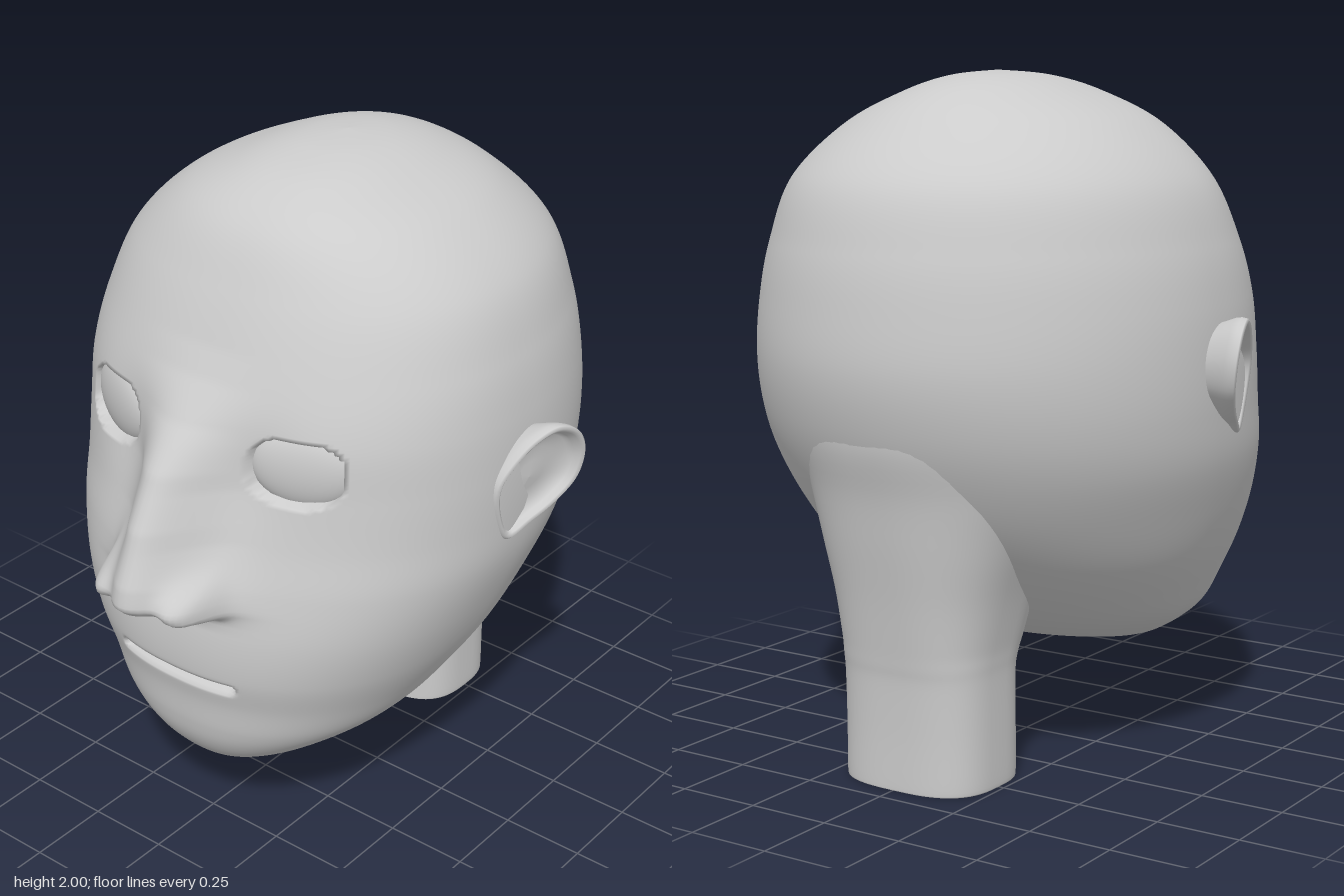
import * as THREE from 'three';

const material = new THREE.MeshStandardMaterial({ color: 0xcccccc, roughness: 0.7 });
const openMaterial = new THREE.MeshStandardMaterial({ color: 0xcccccc, roughness: 0.7, side: THREE.DoubleSide });

const { smoothstep, lerp } = THREE.MathUtils;
const gauss = (d, s) => Math.exp(-((d / s) ** 2));
const spow = (v, p) => Math.sign(v) * Math.abs(v) ** p;

// Catmull-Rom through rows of numbers, sampled with `steps` per interval
function smoothRows(keys, steps) {
  const rows = [];
  const at = (i) => keys[Math.min(Math.max(i, 0), keys.length - 1)];
  for (let i = 0; i < keys.length - 1; i++) {
    for (let s = 0; s < steps; s++) {
      const t = s / steps;
      rows.push(keys[i].map((b, k) => {
        const a = at(i - 1)[k], c = at(i + 1)[k], d = at(i + 2)[k];
        return 0.5 * (2 * b + (c - a) * t + (2 * a - 5 * b + 4 * c - d) * t * t + (3 * b - a - 3 * c + d) * t ** 3);
      }));
    }
  }
  rows.push(keys[keys.length - 1]);
  return rows;
}

// Piecewise smooth lookup of [y, value] pairs, y falling
function lookup(table, y) {
  if (y >= table[0][0]) return table[0][1];
  for (let i = 1; i < table.length; i++) {
    const [y0, v0] = table[i - 1], [y1, v1] = table[i];
    if (y >= y1) return lerp(v0, v1, (y0 - y) / (y0 - y1));
  }
  return table[table.length - 1][1];
}

// Skin closed rings of points, listed from top to bottom
function loft(rings) {
  const n = rings[0].length, index = [];
  for (let i = 0; i < rings.length - 1; i++) {
    for (let j = 0; j < n; j++) {
      const k = (j + 1) % n;
      const a = i * n + j, b = a + n, c = i * n + k, d = c + n;
      index.push(a, b, c, c, b, d);
    }
  }
  const geometry = new THREE.BufferGeometry();
  geometry.setAttribute('position', new THREE.Float32BufferAttribute(rings.flat(2), 3));
  geometry.setIndex(index);
  geometry.computeVertexNormals();
  return geometry;
}

function addMesh(parent, name, geometry, mat = material) {
  const mesh = new THREE.Mesh(geometry, mat);
  mesh.name = name;
  parent.add(mesh);
  return mesh;
}

// Nose ridge height above the face, and its spread
const noseHeight = [[1.56, 0], [1.48, 0.012], [1.37, 0.055], [1.25, 0.14], [1.1, 0.2], [0.95, 0.225],
  [0.89, 0.222], [0.86, 0.185], [0.835, 0.07], [0.81, 0.015], [0.78, 0]];
const noseSpread = [[1.5, 0.16], [1.35, 0.125], [1.2, 0.115], [1.05, 0.125], [0.92, 0.15], [0.8, 0.16]];

// Forward push of the face at (x, y): nose, nostrils, eye openings, mouth
function faceRelief(x, y) {
  const ax = Math.abs(x);
  let dz = lookup(noseHeight, y) * gauss(ax, lookup(noseSpread, y));
  const wing = smoothstep(y, 0.82, 0.86) * gauss(Math.max(y - 0.88, 0), 0.075);
  dz += 0.085 * wing * gauss(Math.max(ax - 0.16, 0), 0.035) * smoothstep(ax, 0.06, 0.15);
  dz -= 0.05 * gauss(ax - 0.075, 0.035) * gauss(y - 0.84, 0.018);
  dz -= 0.02 * gauss(ax - 0.24, 0.11) * gauss(y - 1.25, 0.15);
  const eye = (Math.abs(ax - 0.33) / 0.122) ** 2.8 + (Math.abs(y - 1.277) / 0.088) ** 2.8;
  dz -= 0.06 * (1 - smoothstep(eye, 0.85, 1.2));
  dz -= 0.065 * gauss(y - 0.58, 0.011) * (1 - smoothstep(ax, 0.19, 0.22));
  return dz;
}

// Head sections: y, half width, front z, back z, z of the widest point
const headKeys = [
  [2.0, 0, -0.15, -0.15, -0.15],
  [1.985, 0.13, 0.02, -0.31, -0.14],
  [1.94, 0.26, 0.185, -0.46, -0.13],
  [1.85, 0.44, 0.32, -0.61, -0.12],
  [1.7, 0.595, 0.415, -0.765, -0.11],
  [1.52, 0.667, 0.5, -0.83, -0.1],
  [1.36, 0.7, 0.56, -0.858, -0.1],
  [1.2, 0.712, 0.58, -0.867, -0.1],
  [1.05, 0.71, 0.605, -0.84, -0.09],
  [0.91, 0.695, 0.64, -0.785, -0.05],
  [0.76, 0.65, 0.668, -0.695, 0],
  [0.62, 0.593, 0.67, -0.57, 0.03],
  [0.5, 0.525, 0.645, -0.43, 0.08],
  [0.4, 0.455, 0.632, -0.27, 0.14],
  [0.33, 0.365, 0.612, -0.1, 0.22],
  [0.27, 0.255, 0.575, 0.12, 0.32],
  [0.235, 0.15, 0.53, 0.28, 0.39],
  [0.22, 0, 0.42, 0.42, 0.42],
];

function headGeometry() {
  const columns = 200;
  return loft(smoothRows(headKeys, 14).map(([y, w, front, back, mid]) => {
    const ring = [];
    for (let j = 0; j < columns; j++) {
      const u = (j / columns) * Math.PI * 2;
      const a = u - 0.5 * Math.sin(u); // columns crowd toward the face
      const c = Math.cos(a), p = c > 0 ? 2 / 2.3 : 1;
      const x = w * spow(Math.sin(a), p);
      const z = mid + (c > 0 ? front - mid : mid - back) * spow(c, p);
      ring.push([x, y, z + (c > 0 ? faceRelief(x, y) : 0)]);
    }
    return ring;
  }));
}

// Neck sections: y, half width, front z, back z
const neckKeys = [
  [1.15, 0.36, -0.2, -0.83], [1.0, 0.36, -0.2, -0.825], [0.85, 0.345, -0.2, -0.786], [0.7, 0.31, -0.2, -0.758],
  [0.55, 0.27, -0.22, -0.73], [0.42, 0.245, -0.265, -0.71], [0.36, 0.238, -0.297, -0.702],
  [0.3, 0.235, -0.31, -0.695], [0.15, 0.235, -0.31, -0.69], [0.01, 0.235, -0.31, -0.69], [0, 0.23, -0.31, -0.688],
];

function neckGeometry() {
  const columns = 64;
  return loft(smoothRows(neckKeys, 5).map(([y, w, front, back]) => {
    const p = 2 / lerp(2.9, 2.3, smoothstep(y, 0.3, 0.9));
    return Array.from({ length: columns }, (_, j) => {
      const a = (j / columns) * Math.PI * 2;
      return [w * spow(Math.sin(a), p), y, (front + back) / 2 + ((front - back) / 2) * spow(Math.cos(a), p)];
    });
  }));
}

// Ear: outline in (z, y), skinned from behind, over the rim and into the bowl
function earGeometry() {
  const outline = new THREE.CatmullRomCurve3([
    [0.02, 0.985], [0.07, 1.08], [0.08, 1.18], [0.03, 1.26], [-0.03, 1.31], [-0.1, 1.33],
    [-0.17, 1.295], [-0.205, 1.22], [-0.19, 1.13], [-0.12, 1.06], [-0.05, 1.02],
  ].map(([z, y]) => new THREE.Vector3(0, y, z)), true).getPoints(64).slice(0, -1);
  const centre = new THREE.Vector3(0, 1.16, -0.06);
  const profile = [[0.78, -0.12], [0.9, -0.06], [0.98, -0.025], [1, -0.005], [0.985, 0.012], [0.94, 0.018],
    [0.88, 0.012], [0.83, -0.006], [0.78, -0.02], [0.55, -0.028], [0.3, -0.025], [0, -0.022]];
  return loft(profile.map(([scale, lift]) => outline.map((p) => {
    const q = centre.clone().lerp(p, scale);
    const x = 0.703 + 0.35 * (0.05 - q.z) + 0.12 * (q.y - 1.15) + lift;
    return [x, q.y, q.z];
  })));
}

export function createModel() {
  const model = new THREE.Group();
  model.name = 'headModel';
  addMesh(model, 'head', headGeometry());
  addMesh(model, 'neck', neckGeometry(), openMaterial);

  const ear = earGeometry();
  const eye = new THREE.SphereGeometry(1, 40, 24);
  for (const [side, name] of [[1, 'left'], [-1, 'right']]) {
    addMesh(model, name + 'Ear', ear, openMaterial).scale.x = side;
    const ball = addMesh(model, name + 'Eye', eye);
    ball.scale.set(0.15, 0.115, 0.045);
    ball.position.set(side * 0.328, 1.277, 0.46);
    ball.rotation.y = side * 0.38;
  }
  return model;
}
